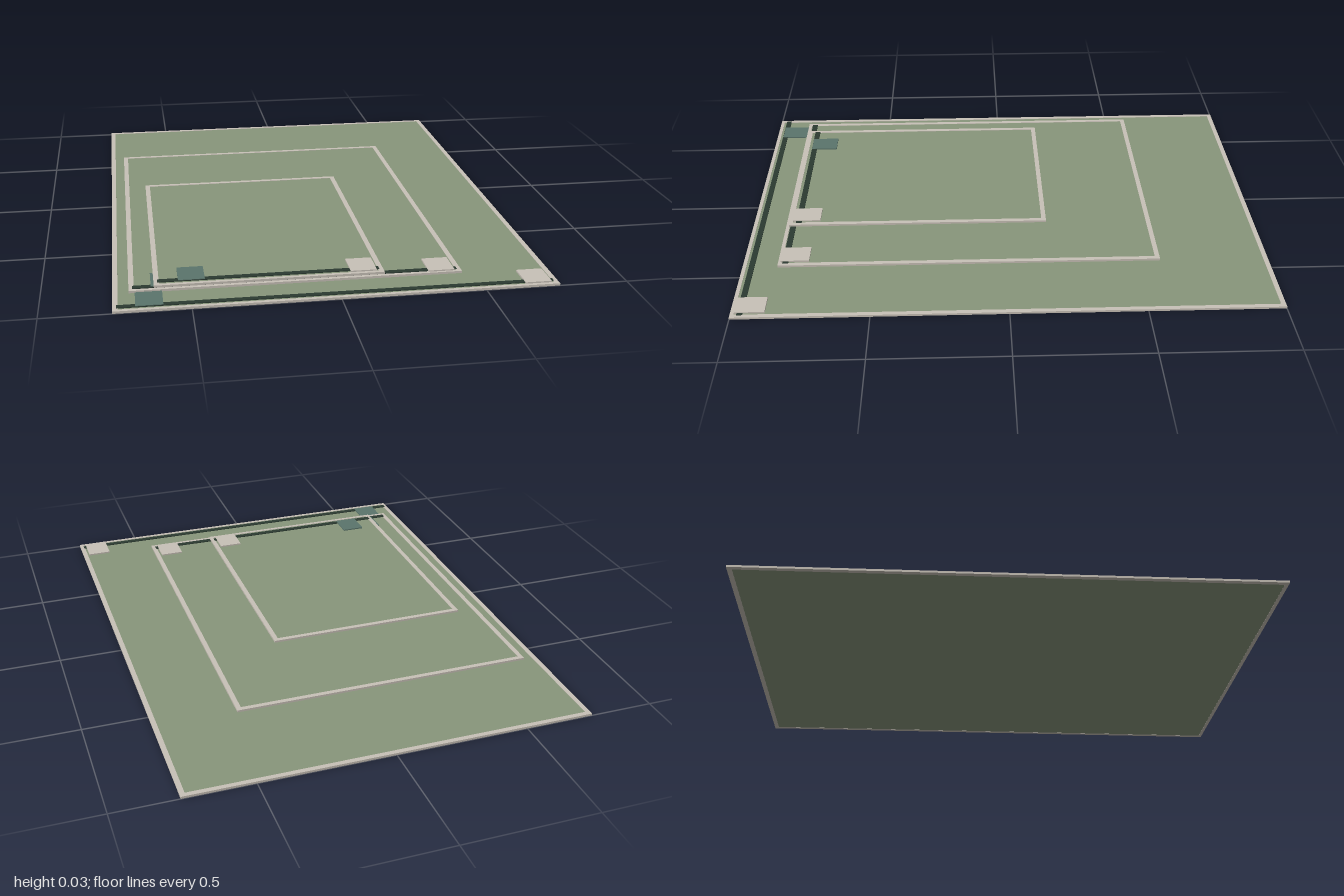
import * as THREE from 'three';

const mat = (name, color) => {
  const m = new THREE.MeshStandardMaterial({ color });
  m.name = name;
  return m;
};

export function createModel() {
  const green = mat('sage green', 0x88967b);
  const stone = mat('pale stone', 0xc8c1b7);
  const teal = mat('muted teal', 0x5b756c);
  const dark = mat('dark green', 0x2b3a31);

  const root = new THREE.Group();
  root.name = 'stackedPanels';

  // Box given by its limits on each axis
  function box(parent, name, material, x0, x1, y0, y1, z0, z1) {
    const mesh = new THREE.Mesh(new THREE.BoxGeometry(x1 - x0, y1 - y0, z1 - z0), material);
    mesh.position.set((x0 + x1) / 2, (y0 + y1) / 2, (z0 + z1) / 2);
    mesh.name = name;
    parent.add(mesh);
  }

  // Rectangular rim, open in the middle, lying flat
  function rim(parent, x0, x1, z0, z1, side, front, height) {
    const rect = (Type, a, b, c, d) =>
      new Type([[a, c], [b, c], [b, d], [a, d]].map(([x, y]) => new THREE.Vector2(x, y)));
    const shape = rect(THREE.Shape, x0, x1, -z1, -z0);
    shape.holes.push(rect(THREE.Path, x0 + side, x1 - side, -z1 + front, -z0 - side));
    const geo = new THREE.ExtrudeGeometry(shape, { depth: height, bevelEnabled: false });
    geo.rotateX(-Math.PI / 2);
    const mesh = new THREE.Mesh(geo, stone);
    mesh.name = 'rim';
    parent.add(mesh);
  }

  // Each sheet: limits, front strip, and the left edge and back edge of its two tabs
  const sheets = [
    { name: 'bottomSheet', x: [-0.76, 0.76], z: [-1, 1], strip: [0.955, 0.976],
      pale: [0.643, 0.877], teal: [-0.685, 0.866] },
    { name: 'middleSheet', x: [-0.705, 0.45], z: [-0.585, 0.867], strip: [0.828, 0.85],
      pale: [0.333, 0.75], teal: [-0.63, 0.735] },
    { name: 'topSheet', x: [-0.62, 0.177], z: [-0.167, 0.855], strip: [0.807, 0.829],
      pale: [0.06, 0.733], teal: [-0.537, 0.72] },
  ];

  sheets.forEach((s, i) => {
    const g = new THREE.Group();
    g.name = s.name;
    g.position.y = i * 0.009;
    const [x0, x1] = s.x, [z0, z1] = s.z;
    rim(g, x0, x1, z0, z1, 0.018, 0.014, 0.008);
    box(g, 'panel', green, x0 + 0.018, x1 - 0.018, 0.0005, 0.0065, z0 + 0.018, z1 - 0.014);
    // Dark strip along the front edge
    box(g, 'frontStrip', dark, x0 + 0.012, x1 - 0.014, 0.006, 0.0095, s.strip[0], s.strip[1]);
    // Square tabs near the front corners
    box(g, 'paleTab', stone, s.pale[0], s.pale[0] + 0.092, 0.006, 0.0125, s.pale[1], s.pale[1] + 0.108);
    box(g, 'tealTab', teal, s.teal[0], s.teal[0] + 0.092, 0.006, 0.0115, s.teal[1], s.teal[1] + 0.108);
    root.add(g);
  });

  return root;
}
